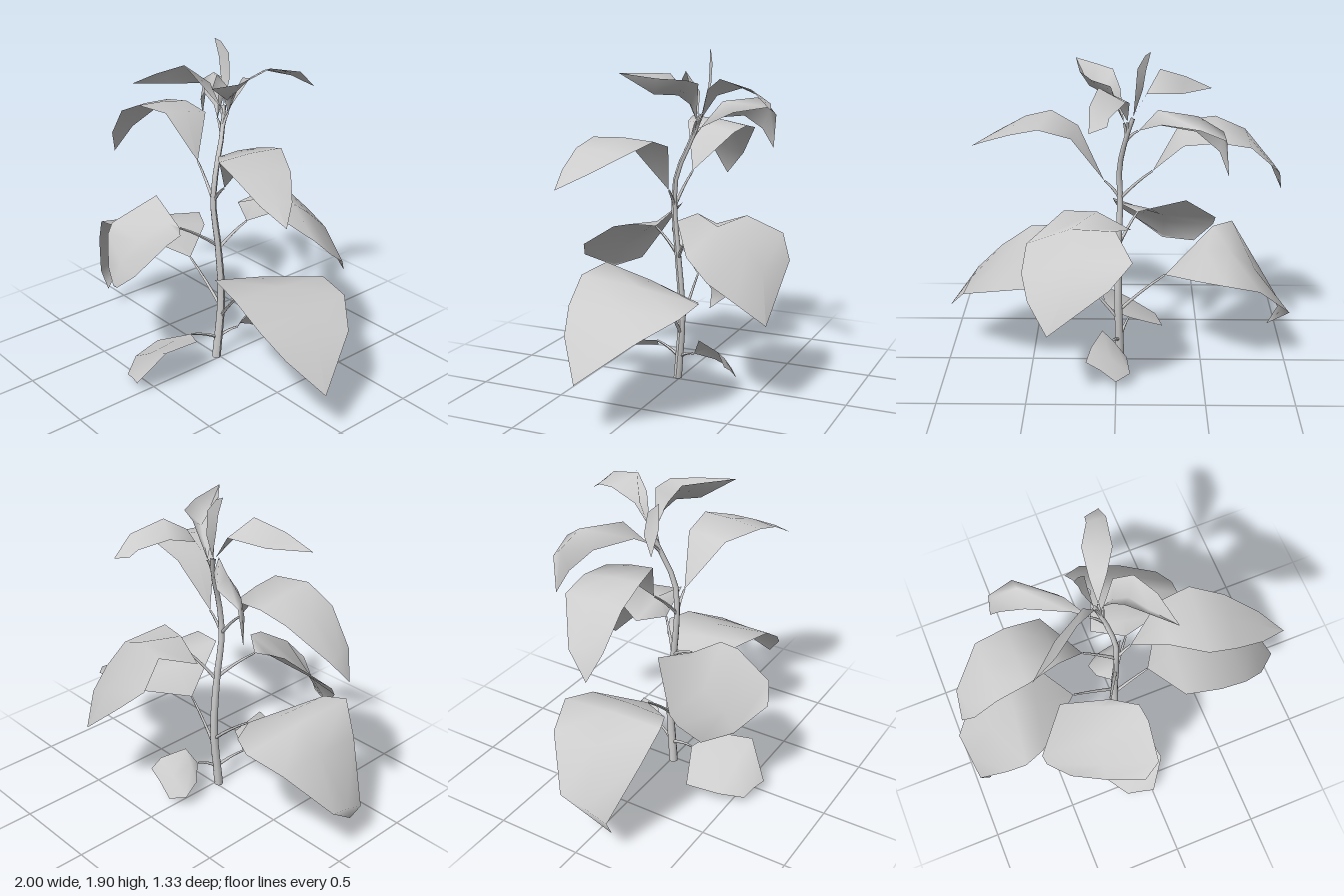
import * as THREE from 'three';

const stemMat = new THREE.MeshStandardMaterial({ color: 0xcccccc });
const leafMat = new THREE.MeshStandardMaterial({ color: 0xcccccc, side: THREE.DoubleSide });

// Stem centre line, bottom to top
const stemCurve = new THREE.CatmullRomCurve3([
  [-0.02, 0, 0.015], [-0.01, 0.4, -0.015], [-0.01, 0.75, 0.01], [-0.02, 1.0, 0.035],
  [-0.015, 1.2, 0.02], [-0.05, 1.4, -0.055], [-0.09, 1.54, -0.1],
].map(p => new THREE.Vector3(...p)));

// Tube whose radius runs from r0 to r1 along the curve
function taperedTube(curve, r0, r1, segments, sides) {
  const geo = new THREE.TubeGeometry(curve, segments, 1, sides, false);
  const pos = geo.attributes.position;
  const v = new THREE.Vector3();
  for (let i = 0; i < pos.count; i++) {
    const t = Math.floor(i / (sides + 1)) / segments;
    const centre = curve.getPointAt(t);
    v.fromBufferAttribute(pos, i).sub(centre).multiplyScalar(r0 + (r1 - r0) * t).add(centre);
    pos.setXYZ(i, v.x, Math.max(v.y, 0), v.z);
  }
  geo.computeVertexNormals();
  return geo;
}

// Point on the stem at a given height
function stemAt(y) {
  let lo = 0, hi = 1;
  for (let i = 0; i < 20; i++) {
    const mid = (lo + hi) / 2;
    if (stemCurve.getPoint(mid).y < y) lo = mid; else hi = mid;
  }
  return stemCurve.getPoint(lo);
}

// Blade lofted through cross rows; each row is one point or a pair of edge points.
// The midrib is raised (or sunk) by "lift".
function bladeGeometry(rows, lift) {
  const pos = [], index = [];
  rows.forEach(r => {
    const a = r.slice(0, 3), b = r.length > 3 ? r.slice(3) : a;
    const m = a.map((c, i) => (c + b[i]) / 2);
    if (r.length > 3) m[1] += lift;
    pos.push(...a, ...m, ...b);
  });
  for (let i = 0; i < rows.length - 1; i++) {
    for (let j = 0; j < 2; j++) {
      const p = i * 3 + j, q = p + 3;
      if (rows[i].length > 3) index.push(p, q, p + 1);
      if (rows[i + 1].length > 3) index.push(p + 1, q, q + 1);
    }
  }
  const geo = new THREE.BufferGeometry();
  geo.setAttribute('position', new THREE.Float32BufferAttribute(pos, 3));
  geo.setIndex(index);
  geo.computeVertexNormals();
  return geo;
}

// Leaf with a stalk joining the stem at stemY
function leaf(name, stemY, lift, rows) {
  const group = new THREE.Group();
  group.name = name;
  const blade = new THREE.Mesh(bladeGeometry(rows, lift), leafMat);
  blade.name = 'blade';
  const start = stemAt(stemY), end = new THREE.Vector3(...rows[0]);
  const bend = start.clone().lerp(end, 0.5);
  bend.y += 0.02;
  const stalk = new THREE.Mesh(
    taperedTube(new THREE.QuadraticBezierCurve3(start, bend, end), 0.011, 0.006, 4, 5), stemMat);
  stalk.name = 'stalk';
  group.add(stalk, blade);
  return group;
}

export function createModel() {
  const plant = new THREE.Group();
  plant.name = 'plant';

  const stem = new THREE.Mesh(taperedTube(stemCurve, 0.026, 0.012, 16, 8), stemMat);
  stem.name = 'stem';
  const base = new THREE.Mesh(new THREE.CircleGeometry(0.026, 8).rotateX(Math.PI / 2), stemMat);
  base.name = 'stemBase';
  base.position.set(-0.02, 0, 0.015);
  plant.add(stem, base);

  // Lowest small pair
  plant.add(leaf('lowestFrontLeaf', 0.13, 0.01, [
    [-0.07, 0.19, 0.17],
    [-0.28, 0.085, 0.26, 0.075, 0.23, 0.24],
    [-0.24, 0.07, 0.45, 0.1, 0.26, 0.48],
    [-0.155, 0.035, 0.57, 0, 0.07, 0.615],
  ]));
  plant.add(leaf('lowestBackLeaf', 0.13, 0.01, [
    [0.03, 0.18, -0.11],
    [-0.06, 0.13, -0.2, 0.08, 0.28, -0.16],
    [-0.08, 0.08, -0.3, 0.14, 0.25, -0.3],
    [0, 0.06, -0.36, 0.17, 0.18, -0.35],
  ]));

  // Large lower pair
  plant.add(leaf('lowerLeftLeaf', 0.27, 0.01, [
    [0.2, 0.52, 0],
    [0.38, 0.6, -0.28, 0.31, 0.745, 0.3],
    [0.5, 0.63, -0.335, 0.52, 0.72, 0.34],
    [0.69, 0.6, -0.31, 0.7, 0.6, 0.32],
    [0.87, 0.51, -0.16, 0.84, 0.48, 0.27],
    [1, 0.29, 0.13],
  ]));
  plant.add(leaf('lowerRightLeaf', 0.33, 0.01, [
    [-0.28, 0.56, 0],
    [-0.45, 0.64, -0.25, -0.57, 0.74, 0.3],
    [-0.6, 0.65, -0.33, -0.69, 0.755, 0.35],
    [-0.8, 0.58, -0.26, -0.8, 0.58, 0.3],
    [-1, 0.36, -0.08, -0.97, 0.26, 0.19],
    [-0.91, 0.15, 0.18],
  ]));

  // Broad middle pair
  plant.add(leaf('middleFrontLeaf', 0.74, -0.05, [
    [-0.12, 0.87, 0.2],
    [-0.4, 0.965, 0.15, 0.015, 0.9, 0.3],
    [-0.59, 0.78, 0.34, 0.03, 0.88, 0.4],
    [-0.58, 0.72, 0.38, 0.01, 0.75, 0.61],
    [-0.47, 0.575, 0.46, -0.09, 0.66, 0.66],
    [-0.28, 0.555, 0.555],
  ]));
  plant.add(leaf('middleBackLeaf', 0.72, 0.05, [
    [0.1, 0.9, -0.11],
    [0.29, 1.01, -0.12, -0.08, 0.93, -0.2],
    [0.49, 0.87, -0.26, 0, 1.01, -0.41],
    [0.51, 0.75, -0.385, -0.09, 0.91, -0.59],
    [0.47, 0.65, -0.52, 0.03, 0.79, -0.67],
    [0.36, 0.51, -0.655],
  ]));

  // Arching upper pair
  plant.add(leaf('upperLeftLeaf', 1.02, 0.01, [
    [0.07, 1.13, 0.03],
    [0.25, 1.4, -0.05, 0.22, 1.4, 0.2],
    [0.43, 1.45, -0.05, 0.38, 1.45, 0.33],
    [0.6, 1.39, 0.04, 0.53, 1.41, 0.35],
    [0.75, 1.31, 0.17, 0.7, 1.32, 0.34],
    [0.85, 1.24, 0.3],
  ]));
  plant.add(leaf('upperRightLeaf', 1.02, 0.01, [
    [-0.2, 1.2, 0],
    [-0.36, 1.41, -0.19, -0.36, 1.465, 0.1],
    [-0.55, 1.43, -0.2, -0.55, 1.475, 0.15],
    [-0.72, 1.4, -0.19, -0.72, 1.4, 0.15],
    [-0.9, 1.21, -0.05, -0.86, 1.22, 0.13],
    [-0.93, 1.07, 0.07],
  ]));

  // Young folded leaves at the crown
  plant.add(leaf('crownLeftLeaf', 1.42, -0.1, [
    [-0.04, 1.51, -0.09],
    [-0.02, 1.68, -0.02, 0.03, 1.72, -0.13],
    [0.02, 1.77, 0.04, 0.13, 1.745, -0.1],
    [0.1, 1.775, 0.12, 0.2, 1.755, 0.04],
    [0.23, 1.78, 0.25],
  ]));
  plant.add(leaf('crownBackLeaf', 1.45, 0, [
    [-0.06, 1.52, -0.11],
    [-0.07, 1.65, -0.2, 0.02, 1.69, -0.18],
    [-0.05, 1.7, -0.36, 0.09, 1.755, -0.28],
    [0.03, 1.66, -0.5, 0.13, 1.71, -0.47],
    [0.04, 1.63, -0.55, 0.13, 1.605, -0.58],
  ]));
  plant.add(leaf('crownFrontLeaf', 1.45, 0, [
    [-0.09, 1.53, -0.08],
    [-0.16, 1.66, -0.06, -0.235, 1.765, 0.06],
    [-0.35, 1.63, 0.04, -0.38, 1.7, 0.15],
    [-0.53, 1.62, 0.2],
  ]));
  plant.add(leaf('crownRightLeaf', 1.38, 0.08, [
    [-0.12, 1.46, -0.08],
    [-0.24, 1.54, -0.23, -0.2, 1.51, -0.12],
    [-0.43, 1.56, -0.385, -0.42, 1.505, -0.23],
    [-0.57, 1.5, -0.375, -0.54, 1.42, -0.3],
    [-0.59, 1.3, -0.355],
  ]));
  plant.add(leaf('apexLeaf', 1.5, 0, [
    [-0.09, 1.54, -0.1],
    [-0.14, 1.7, -0.12, -0.1, 1.68, -0.15],
    [-0.155, 1.8, -0.12, -0.11, 1.82, -0.155],
    [-0.18, 1.9, -0.11, -0.15, 1.885, -0.13],
  ]));
  return plant;
}
